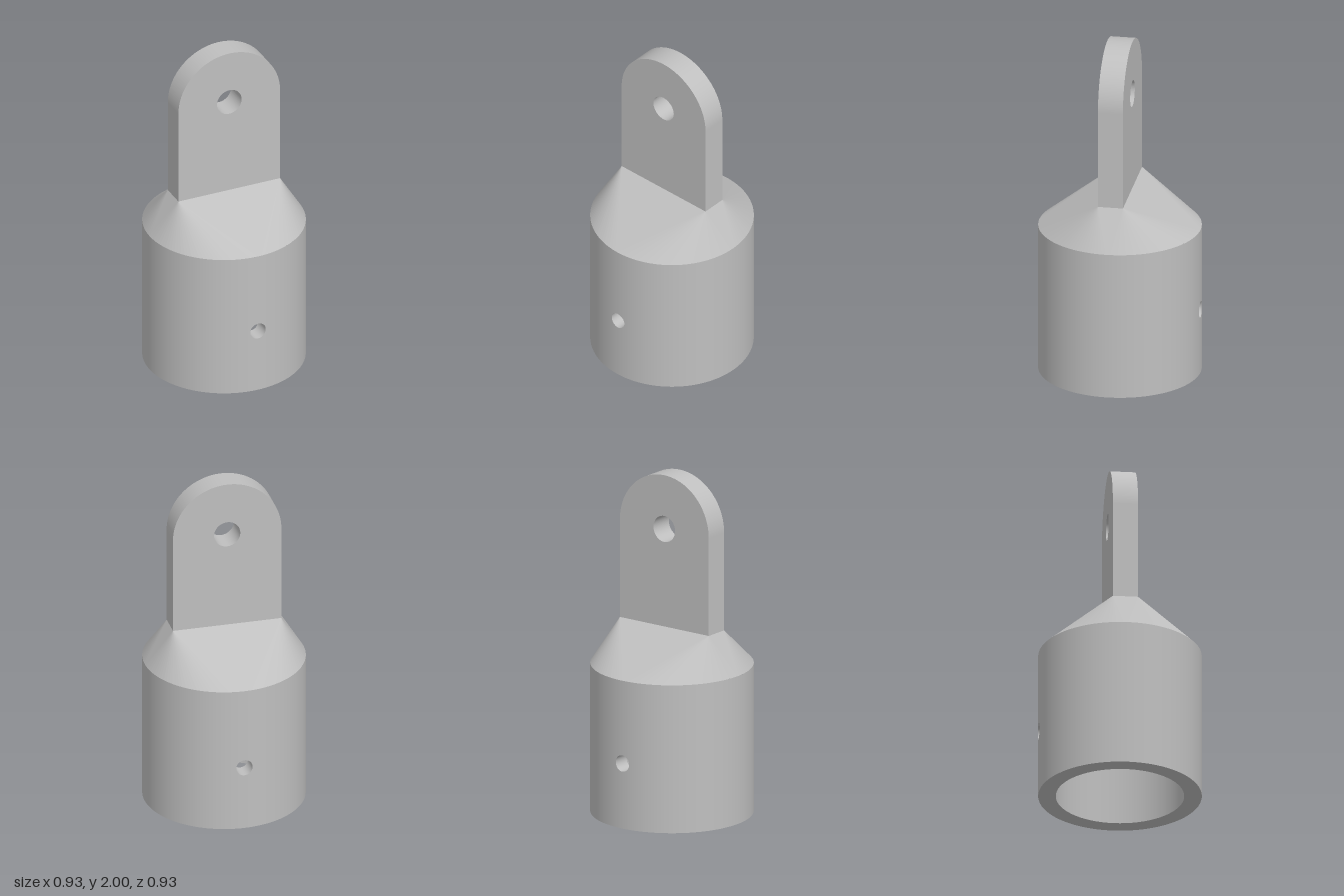
import * as THREE from 'three';
import { ParametricGeometry } from 'three/addons/geometries/ParametricGeometry.js';

const R = 0.465, BORE = 0.365;            // socket outer and inner radius
const SHOULDER = 0.875, DEPTH = 0.86;     // top of socket, depth of bore
const PIN_Y = 0.385, PIN_R = 0.048;       // cross hole through the socket
const PATCH = 0.1;                        // half width of the wall strip around the hole
const TAB_W = 0.318, TAB_D = 0.072, TAB_Y = 1.105, EYE_Y = 1.682, EYE_R = 0.077;

export function createModel() {
  const model = new THREE.Group();
  const grey = new THREE.MeshStandardMaterial({ color: 0xbfbfbf });
  grey.name = 'grey';

  const add = (name, geometry, turn = 0) => {
    const mesh = new THREE.Mesh(geometry, grey);
    mesh.name = name;
    mesh.rotation.y = turn;
    model.add(mesh);
    return mesh;
  };

  // Half of a cylinder wall, leaving out the strips that hold the cross hole
  const sideWall = (r, h, inward) => {
    const start = Math.asin(PATCH / r);
    return new ParametricGeometry((u, v, p) => {
      const a = THREE.MathUtils.lerp(start, Math.PI - start, inward ? 1 - u : u);
      p.set(r * Math.sin(a), v * h, r * Math.cos(a));
    }, 64, 1);
  };

  // Curved strip with a round hole, blended from the circle to the strip's border
  const holedWall = (r, h, inward) => {
    const corners = [[PATCH, 0], [PATCH, h], [-PATCH, h], [-PATCH, 0], [PATCH, 0]];
    return new ParametricGeometry((u, v, p) => {
      const s = (inward ? u : 1 - u) * 4;
      const k = THREE.MathUtils.clamp(Math.floor(s), 0, 3), f = s - k;
      const a = (s - 0.5) * Math.PI / 2;
      const bx = THREE.MathUtils.lerp(corners[k][0], corners[k + 1][0], f);
      const by = THREE.MathUtils.lerp(corners[k][1], corners[k + 1][1], f);
      const x = THREE.MathUtils.lerp(PIN_R * Math.cos(a), bx, v);
      const y = THREE.MathUtils.lerp(PIN_Y + PIN_R * Math.sin(a), by, v);
      p.set(x, y, Math.sqrt(r * r - x * x));
    }, 64, 6);
  };

  // Wall of the cross hole, from the bore out to the outer surface
  const pinHole = () => new ParametricGeometry((u, v, p) => {
    const a = -u * Math.PI * 2, x = PIN_R * Math.cos(a);
    const z = THREE.MathUtils.lerp(Math.sqrt(BORE * BORE - x * x), Math.sqrt(R * R - x * x), v);
    p.set(x, PIN_Y + PIN_R * Math.sin(a), z);
  }, 48, 1);

  for (const [side, turn] of [['front', 0], ['back', Math.PI]]) {
    add(side + 'SocketSide', sideWall(R, SHOULDER, false), turn);
    add(side + 'SocketStrip', holedWall(R, SHOULDER, false), turn);
    add(side + 'BoreSide', sideWall(BORE, DEPTH, true), turn);
    add(side + 'BoreStrip', holedWall(BORE, DEPTH, true), turn);
    add(side + 'PinHole', pinHole(), turn);
  }

  // Bottom rim and closed end of the bore, both facing down
  add('socketRim', new THREE.RingGeometry(BORE, R, 128).rotateX(Math.PI / 2));
  add('boreEnd', new THREE.CircleGeometry(BORE, 128).rotateX(Math.PI / 2)).position.y = DEPTH;

  // Shoulder: a cone fan at each tab corner, joined by flat triangles
  const points = [];
  const N = 32;
  const rim = a => [R * Math.cos(a), SHOULDER, R * Math.sin(a)];
  const corner = q => [(q % 4 === 0 || q % 4 === 3 ? 1 : -1) * TAB_W, TAB_Y, (q % 4 < 2 ? 1 : -1) * TAB_D];
  for (let q = 0; q < 4; q++) {
    for (let i = 0; i < N; i++) {
      const a = (q + i / N) * Math.PI / 2, b = (q + (i + 1) / N) * Math.PI / 2;
      points.push(...rim(b), ...rim(a), ...corner(q));
    }
    points.push(...rim((q + 1) * Math.PI / 2), ...corner(q), ...corner(q + 1));
  }
  const shoulder = new THREE.BufferGeometry();
  shoulder.setAttribute('position', new THREE.Float32BufferAttribute(points, 3));
  shoulder.computeVertexNormals();
  add('shoulder', shoulder);

  // Flat tab with a round top and an eye
  const outline = new THREE.Shape();
  outline.moveTo(-TAB_W, TAB_Y);
  outline.lineTo(TAB_W, TAB_Y);
  outline.lineTo(TAB_W, EYE_Y);
  outline.absarc(0, EYE_Y, TAB_W, 0, Math.PI, false);
  outline.lineTo(-TAB_W, TAB_Y);
  const eye = new THREE.Path();
  eye.absarc(0, EYE_Y, EYE_R, 0, Math.PI * 2, true);
  outline.holes.push(eye);
  const tab = new THREE.ExtrudeGeometry(outline, { depth: TAB_D * 2, bevelEnabled: false, curveSegments: 64 });
  add('tab', tab.translate(0, 0, -TAB_D));

  return model;
}
